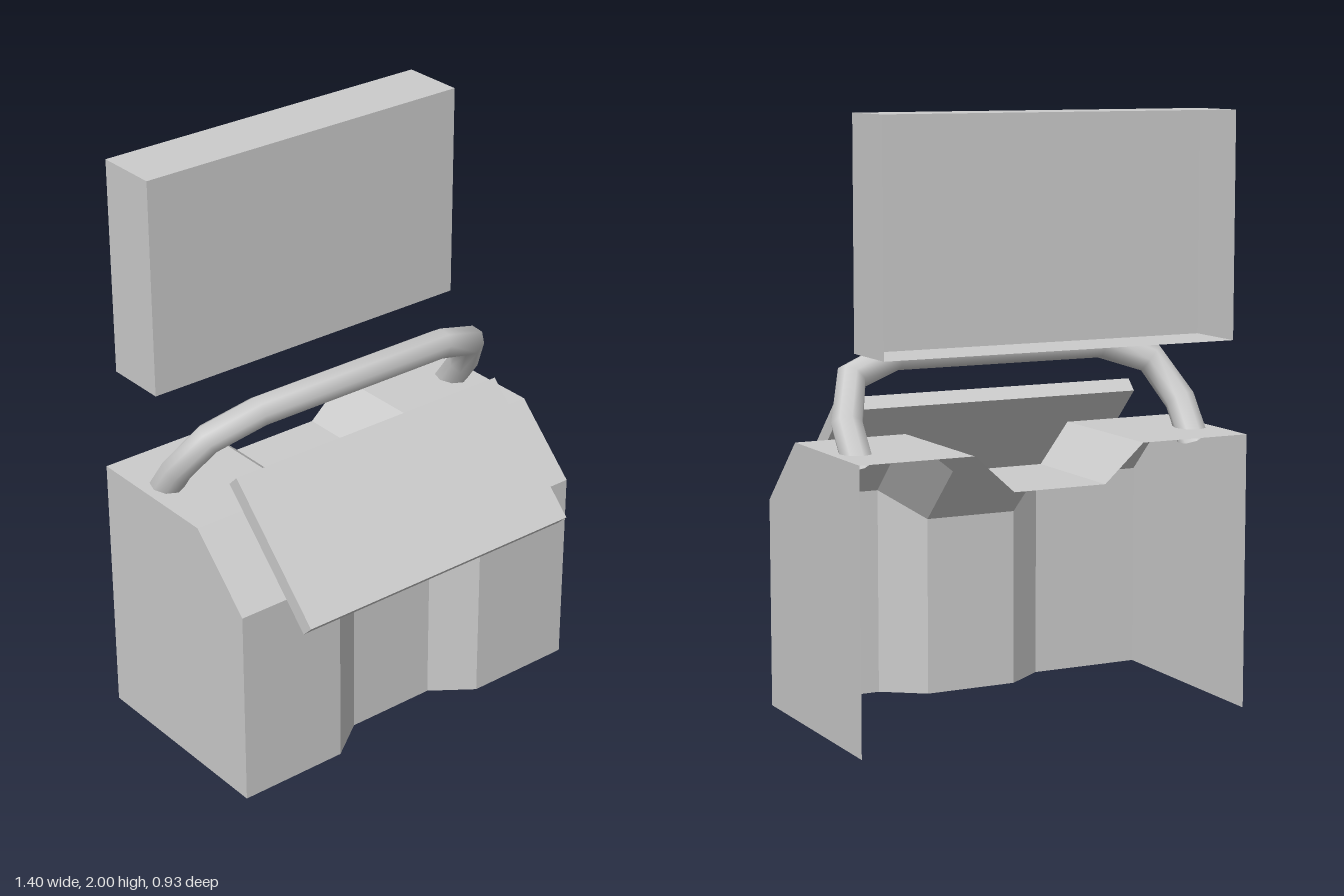
import * as THREE from 'three';

const grey = new THREE.MeshStandardMaterial({ color: 0xcccccc, side: THREE.DoubleSide });
const flatGrey = new THREE.MeshStandardMaterial({ color: 0xcccccc, side: THREE.DoubleSide, flatShading: true });

function add(group, name, geometry, material = flatGrey) {
  const mesh = new THREE.Mesh(geometry, material);
  mesh.name = name;
  group.add(mesh);
  return mesh;
}

// Flat-shaded geometry from four-cornered faces (counter-clockwise from outside)
function quads(faces) {
  const pos = [];
  for (const [a, b, c, d] of faces) pos.push(...a, ...b, ...c, ...a, ...c, ...d);
  const g = new THREE.BufferGeometry();
  g.setAttribute('position', new THREE.Float32BufferAttribute(pos, 3));
  g.computeVertexNormals();
  return g;
}

// Cabinet shell: side profile swept across x, shrunk toward the back in the middle channel
function cabinetGeometry() {
  const back = -0.44;
  const profile = [[0.305, 0], [0.305, 0.705], [0.075, 0.93], [back, 0.93]]; // z, y
  const stations = [[-0.7, 1], [-0.305, 1], [-0.165, 0.865], [0.165, 0.865], [0.305, 1], [0.7, 1]];
  const rings = stations.map(([x, s]) => profile.map(([z, y]) => [x, y * s, back + (z - back) * s]));
  const faces = [];
  for (let i = 0; i < rings.length - 1; i++) {
    for (let j = 0; j < profile.length - 1; j++) {
      faces.push([rings[i][j], rings[i + 1][j], rings[i + 1][j + 1], rings[i][j + 1]]);
    }
  }
  // End walls, each split at the bevel
  for (const [x, flip] of [[-0.7, true], [0.7, false]]) {
    const p = profile.map(([z, y]) => [x, y, z]);
    const walls = [[p[0], [x, 0, back], [x, 0.705, back], p[1]], [p[1], [x, 0.705, back], p[3], p[2]]];
    for (const w of walls) faces.push(flip ? w.reverse() : w);
  }
  return quads(faces);
}

// Open-backed screen housing
function screenGeometry() {
  const [w, y0, y1, zb, zf] = [0.627, 1.25, 2, -0.465, -0.24];
  const corners = [[-w, y0], [w, y0], [w, y1], [-w, y1]];
  const front = corners.map(([x, y]) => [x, y, zf]);
  const rear = corners.map(([x, y]) => [x, y, zb]);
  const faces = [front];
  for (let i = 0; i < 4; i++) {
    const k = (i + 1) % 4;
    faces.push([front[i], rear[i], rear[k], front[k]]);
  }
  return quads(faces);
}

// Path with straight runs whose samples land exactly on the corners
class CornerPath extends THREE.Curve {
  constructor(points) {
    super();
    this.points = points;
  }
  getPoint(t, target = new THREE.Vector3()) {
    const f = t * (this.points.length - 1);
    const i = Math.min(Math.floor(f), this.points.length - 2);
    return target.lerpVectors(this.points[i], this.points[i + 1], f - i);
  }
  getPointAt(u, target) {
    return this.getPoint(u, target);
  }
  getTangentAt(u, target = new THREE.Vector3()) {
    const n = this.points.length - 1;
    const i = Math.round(u * n);
    const dir = (k) => this.points[k + 1].clone().sub(this.points[k]).normalize();
    return target.copy(dir(Math.max(i - 1, 0))).add(dir(Math.min(i, n - 1))).normalize();
  }
}

// Leaning grab bar, mirrored left to right
function handleGeometry() {
  const half = [[0.615, 0.9], [0.615, 1.015], [0.555, 1.15], [0.385, 1.208]]; // x, y
  const point = (x, y) => new THREE.Vector3(x, y, -0.213 + (y - 0.93) * 0.72);
  const points = [
    ...half.map(([x, y]) => point(-x, y)),
    ...half.slice().reverse().map(([x, y]) => point(x, y)),
  ];
  return new THREE.TubeGeometry(new CornerPath(points), points.length - 1, 0.053, 8, false);
}

export function createModel() {
  const model = new THREE.Group();
  model.name = 'console';
  add(model, 'cabinet', cabinetGeometry());
  add(model, 'screenHousing', screenGeometry());
  add(model, 'handle', handleGeometry(), grey);

  // Tilted control panel
  const panel = add(model, 'controlPanel', new THREE.BoxGeometry(1.1, 0.538, 0.054));
  panel.position.set(0, 0.855, 0.256);
  panel.rotation.x = -Math.PI / 4;
  return model;
}
